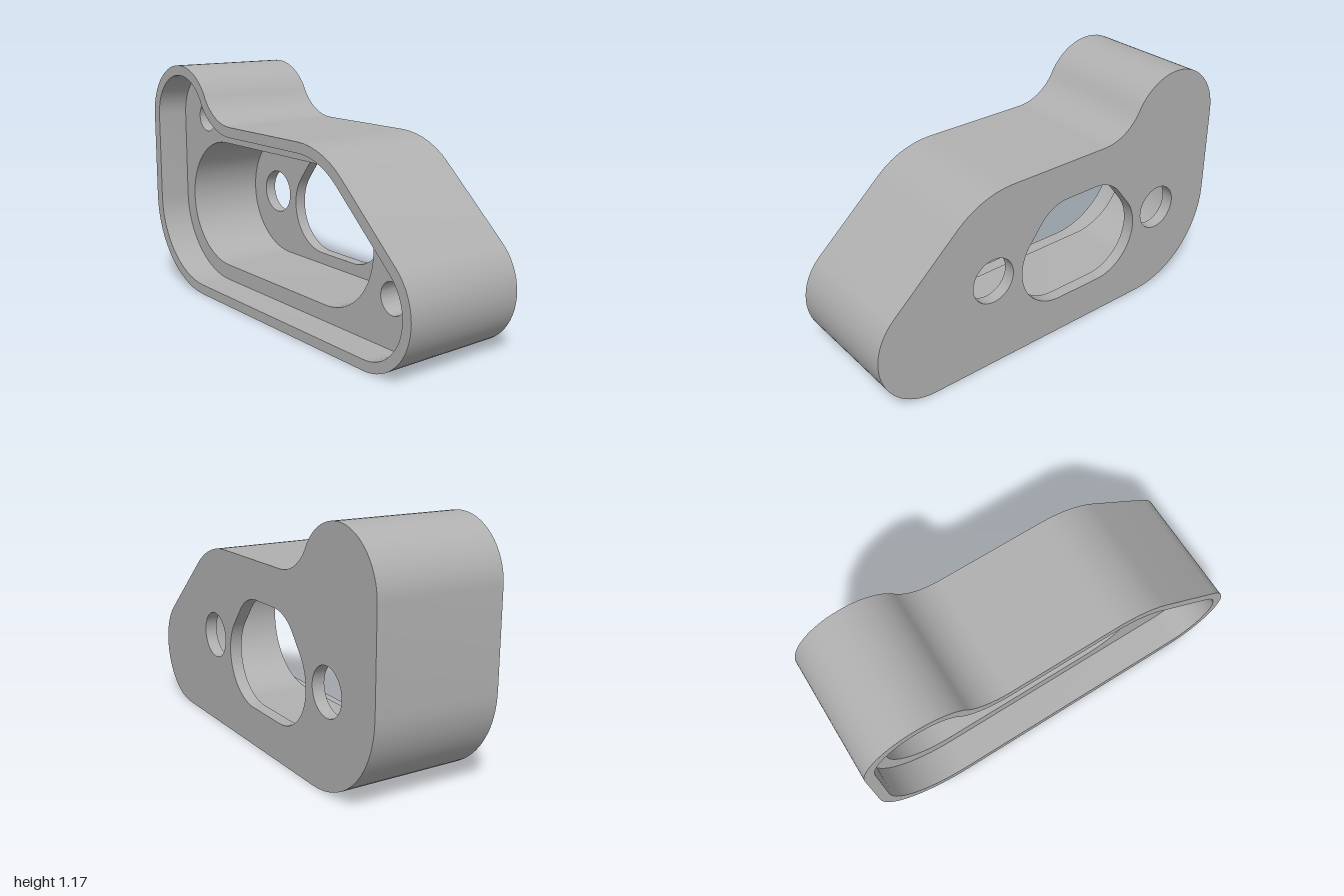
import * as THREE from 'three';
import { toCreasedNormals } from 'three/addons/utils/BufferGeometryUtils.js';

const BACK = -0.31, FLOOR = -0.25, BLIND = -0.1, SHELF = 0.15, FRONT = 0.31;

// Chain of tangent arcs [cx, cy, radius, startDeg, endDeg], counter-clockwise;
// arcs running clockwise are concave, so they grow when the outline is inset.
function outline(arcs, inset = 0) {
  const pts = [];
  for (const [cx, cy, r, a0, a1] of arcs) {
    const radius = a1 > a0 ? r - inset : r + inset;
    const n = Math.max(4, Math.ceil(Math.abs(a1 - a0) / 6));
    for (let i = 0; i <= n; i++) {
      const a = THREE.MathUtils.degToRad(a0 + (a1 - a0) * i / n);
      pts.push(new THREE.Vector2(cx + radius * Math.cos(a), cy + radius * Math.sin(a)));
    }
  }
  return pts;
}

function circle(cx, cy, r) {
  return outline([[cx, cy, r, 0, 360]]).slice(0, -1);
}

// Flat face with holes, facing the front or the back
function face(points, holes, z, facesBack = false) {
  const shape = new THREE.Shape(points);
  shape.holes = holes.map((h) => new THREE.Path(h));
  const geo = new THREE.ShapeGeometry(shape).translate(0, 0, z);
  if (facesBack) {
    const idx = geo.index.array;
    for (let i = 0; i < idx.length; i += 3) [idx[i], idx[i + 1]] = [idx[i + 1], idx[i]];
    geo.computeVertexNormals();
  }
  return geo;
}

// Wall swept along z; inward walls line holes and pockets
function wall(points, z0, z1, inward = true) {
  const loop = inward ? [...points].reverse() : points;
  const pos = [];
  loop.forEach((a, i) => {
    const b = loop[(i + 1) % loop.length];
    if (a.distanceTo(b) < 1e-5) return;
    pos.push(a.x, a.y, z0, b.x, b.y, z0, b.x, b.y, z1);
    pos.push(a.x, a.y, z0, b.x, b.y, z1, a.x, a.y, z1);
  });
  const geo = new THREE.BufferGeometry();
  geo.setAttribute('position', new THREE.Float32BufferAttribute(pos, 3));
  return toCreasedNormals(geo, 0.6);
}

export function createModel() {
  const group = new THREE.Group();
  group.name = 'bracketHousing';
  const grey = new THREE.MeshStandardMaterial({ color: 0xb0b0b0 });
  grey.name = 'plain grey';
  const add = (name, geo) => {
    const mesh = new THREE.Mesh(geo, grey);
    mesh.name = name;
    group.add(mesh);
  };

  // Body outline: right foot, shoulder, concave fillet, upper lobe, lower left corner
  const body = [
    [0.72, 0.28, 0.28, -90, 48.1],
    [0.27, 0.455, 0.45, 48.1, 90],
    [-0.27, 1.155, 0.25, 270, 209.7],
    [-0.725, 0.895, 0.275, 29.7, 180],
    [-0.55, 0.45, 0.45, 180, 270],
  ];
  const outer = outline(body);
  const inner = outline(body, 0.05);
  const pocket = outline([[0.27, 0.455, 0.325, -90, 90], [-0.55, 0.455, 0.325, 90, 270]]);
  const window = outline([
    [-0.01, 0.42, 0.23, -90, 38],
    [-0.05, 0.52, 0.2, 38, 90],
    [-0.22, 0.52, 0.2, 90, 142],
    [-0.26, 0.42, 0.23, 142, 270],
  ]);
  const boltHoles = [circle(-0.655, 0.455, 0.113), circle(0.385, 0.455, 0.113)];
  const blindHoles = [circle(-0.725, 0.895, 0.075), circle(0.72, 0.28, 0.075)];
  const through = [window, ...boltHoles];

  // Outer shell and rim
  add('outerWall', wall(outer, BACK, FRONT, false));
  add('backFace', face(outer, through, BACK, true));
  add('rim', face(outer, [inner], FRONT));
  add('rimInnerWall', wall(inner, SHELF, FRONT));

  // Shelf and deep pocket
  add('shelf', face(inner, [pocket, ...blindHoles], SHELF));
  add('pocketWall', wall(pocket, FLOOR, SHELF));
  add('pocketFloor', face(pocket, through, FLOOR));

  // Openings through the floor
  add('windowWall', wall(window, BACK, FLOOR));
  boltHoles.forEach((h) => add('boltHoleWall', wall(h, BACK, FLOOR)));

  // Blind screw holes in the shelf
  blindHoles.forEach((h) => {
    add('screwHoleWall', wall(h, BLIND, SHELF));
    add('screwHoleBottom', face(h, [], BLIND));
  });
  return group;
}
